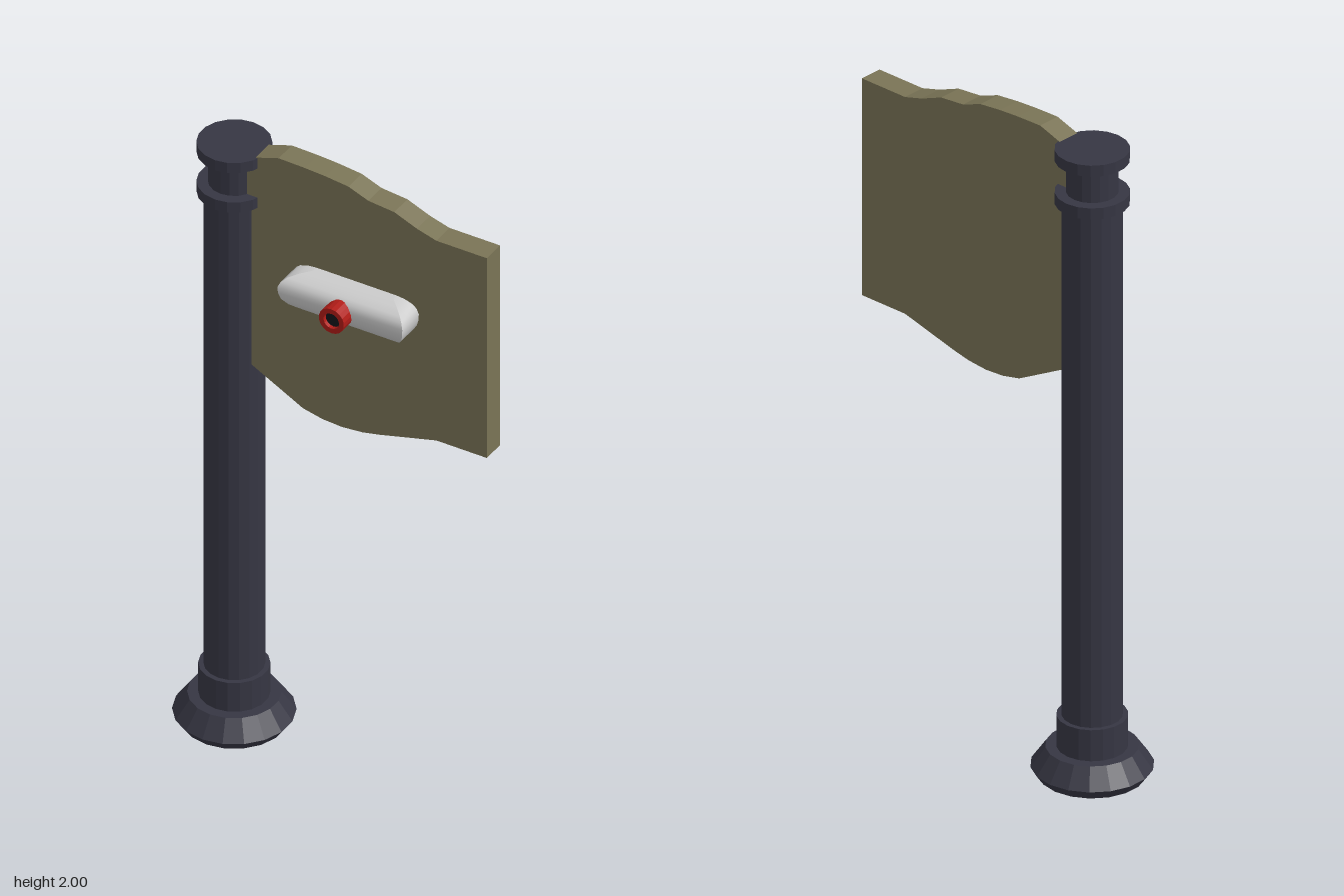
import * as THREE from 'three';

const POLE_X = -0.338;
const mat = (color, opts = {}) => new THREE.MeshStandardMaterial({ color, ...opts });

function add(parent, name, geometry, material, x = 0, y = 0, z = 0) {
  const mesh = new THREE.Mesh(geometry, material);
  mesh.name = name;
  mesh.position.set(x, y, z);
  parent.add(mesh);
  return mesh;
}

const vectors = (pts) => pts.map(([x, y]) => new THREE.Vector2(x, y));

// Half dome with rectangular slices: each profile entry is [height, inset].
// Every side is its own strip so the corners stay sharp.
function housingGeometry(halfWidth, depth, profile) {
  const pos = [], index = [];
  const corners = ([y, d]) => [
    [-halfWidth + d, y, 0], [-halfWidth + d, y, depth - d],
    [halfWidth - d, y, depth - d], [halfWidth - d, y, 0],
  ];
  const rows = profile.map(corners);
  for (let side = 0; side < 3; side++) {
    const start = pos.length / 3;
    rows.forEach((r, i) => {
      pos.push(...r[side], ...r[side + 1]);
      if (i === 0) return;
      const a = start + (i - 1) * 2;
      index.push(a, a + 1, a + 3, a, a + 3, a + 2);
    });
  }
  // Bottom and top lids
  [[rows[0], [0, 3, 2, 0, 2, 1]], [rows[rows.length - 1], [0, 1, 2, 0, 2, 3]]].forEach(([r, tri]) => {
    const start = pos.length / 3;
    r.forEach((p) => pos.push(...p));
    index.push(...tri.map((t) => start + t));
  });
  const g = new THREE.BufferGeometry();
  g.setAttribute('position', new THREE.Float32BufferAttribute(pos, 3));
  g.setIndex(index);
  g.computeVertexNormals();
  return g;
}

export function createModel() {
  const model = new THREE.Group();
  model.name = 'signPost';
  const poleMat = mat(0x363643, { flatShading: true });
  const panelMat = mat(0x7a7456, { flatShading: true });
  const redMat = mat(0xb01c17);
  const darkMat = mat(0x15151a);

  // Flared foot, hollow underneath, with its collar
  const foot = vectors([
    [0, 0.06], [0.088, 0.06], [0.125, 0.045], [0.153, 0], [0.174, 0.03],
    [0.132, 0.09], [0.101, 0.09], [0.101, 0.188], [0.08, 0.188],
  ]);
  add(model, 'foot', new THREE.LatheGeometry(foot, 18), poleMat, POLE_X);

  // Shaft with ring, neck and cap
  const shaft = vectors([
    [0.0865, 0.17], [0.0865, 1.805], [0.106, 1.805], [0.106, 1.84], [0.074, 1.84],
    [0.074, 1.94], [0.106, 1.94], [0.106, 1.975], [0, 1.975],
  ]);
  add(model, 'pole', new THREE.LatheGeometry(shaft, 18), poleMat, POLE_X);

  // Wavy panel
  const outline = new THREE.Shape(vectors([
    [-0.28, 1.272], [-0.262, 1.262], [-0.093, 1.172], [-0.03, 1.158], [0.034, 1.154],
    [0.1, 1.16], [0.156, 1.172], [0.341, 1.22], [0.505, 1.22], [0.505, 1.905],
    [0.341, 1.905], [0.278, 1.923], [0.204, 1.953], [0.12, 1.961], [0.055, 1.986],
    [-0.02, 1.994], [-0.087, 1.998], [-0.172, 2], [-0.262, 1.97], [-0.28, 1.962],
  ]));
  const panel = new THREE.ExtrudeGeometry(outline, { depth: 0.072, bevelEnabled: false });
  add(model, 'panel', panel, panelMat, 0, 0, -0.035);

  // Grey lamp housing on the front of the panel
  const profile = [
    [-0.075, 0.085], [-0.071, 0.062], [-0.06, 0.04], [-0.044, 0.022], [-0.022, 0.007],
    [0, 0.001], [0.02, 0], [0.036, 0.007], [0.047, 0.02], [0.055, 0.045], [0.058, 0.072],
  ];
  add(model, 'lampHousing', housingGeometry(0.203, 0.091, profile), mat(0xcccccc), 0.081, 1.612, 0.036);

  // Red tube with a dark recessed core
  const tube = vectors([[0.025, 0.04], [0.041, 0.04], [0.041, 0.167], [0.025, 0.167], [0.025, 0.04]]);
  const ring = new THREE.LatheGeometry(tube, 18).toNonIndexed();
  ring.computeVertexNormals();
  ring.rotateX(Math.PI / 2);
  add(model, 'lampTube', ring, redMat, 0.077, 1.612, 0);
  const core = new THREE.CylinderGeometry(0.0255, 0.0255, 0.11, 18).rotateX(Math.PI / 2);
  add(model, 'lampCore', core, darkMat, 0.077, 1.612, 0.1);

  return model;
}
